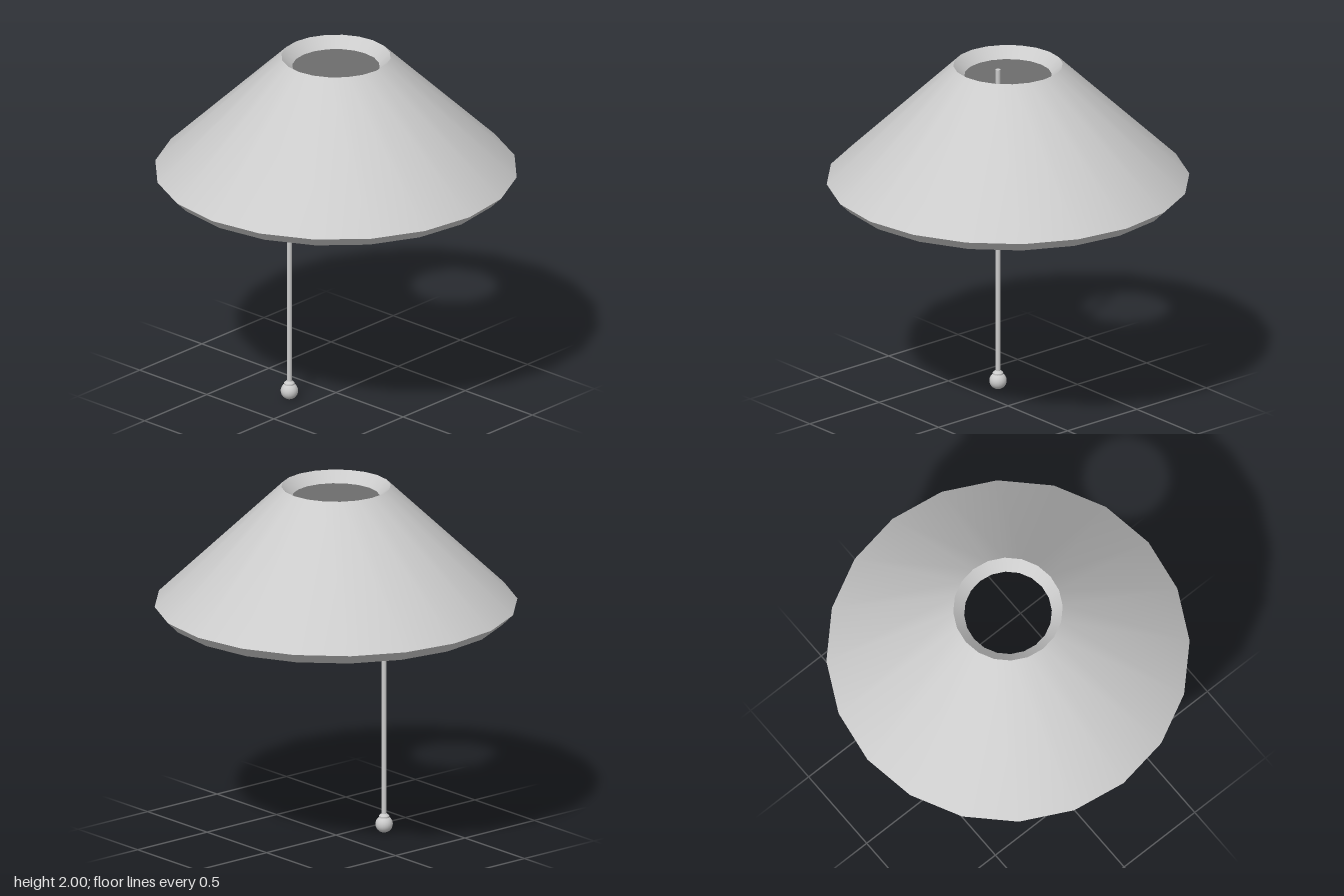
import * as THREE from 'three';
import { mergeGeometries } from 'three/addons/utils/BufferGeometryUtils.js';

const material = new THREE.MeshStandardMaterial({ color: 0xcccccc });

// Lathe smooth around the axis, with a hard edge at every profile point
function hardLathe(profile, sides) {
  const bands = [];
  for (let i = 0; i < profile.length - 1; i++) {
    const pair = [profile[i], profile[i + 1]].map(([r, y]) => new THREE.Vector2(r, y));
    bands.push(new THREE.LatheGeometry(pair, sides));
  }
  return mergeGeometries(bands);
}

function addPart(parent, name, geometry, y = 0) {
  const mesh = new THREE.Mesh(geometry, material);
  mesh.name = name;
  mesh.position.y = y;
  parent.add(mesh);
}

export function createModel() {
  const model = new THREE.Group();
  model.name = 'lampshade';

  // Twenty-sided conical shell with bevelled top and bottom rims
  addPart(model, 'shade', hardLathe(
    [[0.935, 1.27], [0.995, 1.33], [0.3, 2], [0.24, 1.94], [0.935, 1.27]], 20));

  // Pull cord hanging off-centre inside the shade
  const pull = new THREE.Group();
  pull.name = 'pullCord';
  pull.position.set(-0.235, 0, -0.13);
  model.add(pull);

  const cordBottom = 0.09, cordTop = 1.87;
  addPart(pull, 'cord',
    new THREE.CylinderGeometry(0.014, 0.014, cordTop - cordBottom, 12),
    (cordBottom + cordTop) / 2);
  // Tapered collar above the ball
  addPart(pull, 'collar', hardLathe(
    [[0.029, 0.075], [0.029, 0.095], [0.016, 0.107], [0, 0.107]], 16));
  addPart(pull, 'ball', new THREE.SphereGeometry(0.048, 20, 14), 0.048);

  return model;
}
